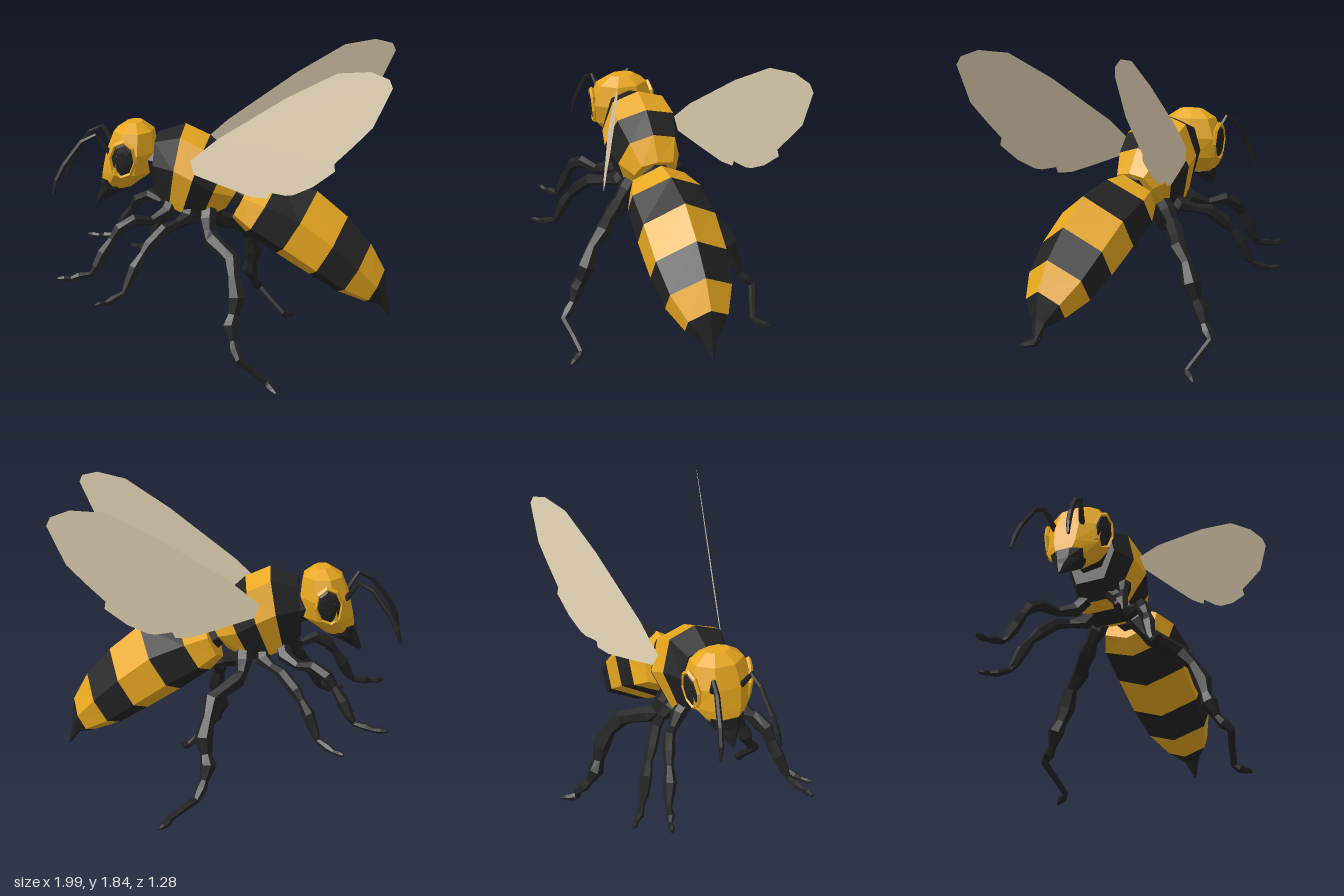
import * as THREE from 'three';

const V = (x, y, z) => new THREE.Vector3(x, y, z);

// Skin a list of equal-length rings, with optional end caps; faces always point outwards.
function loft(rings, capStart = true, capEnd = true) {
  const tris = [];
  const n = rings[0].length;
  for (let r = 0; r < rings.length - 1; r++) {
    for (let i = 0; i < n; i++) {
      const j = (i + 1) % n, a = rings[r], b = rings[r + 1];
      tris.push([a[i], a[j], b[j]], [a[i], b[j], b[i]]);
    }
  }
  const last = rings[rings.length - 1];
  for (let i = 1; i < n - 1; i++) {
    if (capStart) tris.push([rings[0][0], rings[0][i + 1], rings[0][i]]);
    if (capEnd) tris.push([last[0], last[i], last[i + 1]]);
  }
  const mid = V(0, 0, 0);
  rings.flat().forEach(p => mid.add(p));
  mid.divideScalar(rings.length * n);
  let volume = 0;
  for (const [a, b, c] of tris) {
    volume += a.clone().sub(mid).dot(b.clone().sub(mid).cross(c.clone().sub(mid)));
  }
  const pos = [];
  for (const [a, b, c] of tris) {
    for (const p of volume < 0 ? [a, c, b] : [a, b, c]) pos.push(p.x, p.y, p.z);
  }
  const geo = new THREE.BufferGeometry();
  geo.setAttribute('position', new THREE.Float32BufferAttribute(pos, 3));
  geo.computeVertexNormals();
  return geo;
}

// Six-sided limb along points [x, y, z, radius].
function limb(path) {
  const pts = path.map(p => V(p[0], p[1], p[2]));
  const u = V(0.3, 0.1, 1);
  const rings = pts.map((p, k) => {
    const t = pts[Math.min(k + 1, pts.length - 1)].clone().sub(pts[Math.max(k - 1, 0)]).normalize();
    u.addScaledVector(t, -u.dot(t)).normalize();
    const w = t.clone().cross(u);
    return Array.from({ length: 6 }, (_, i) => {
      const a = i * Math.PI / 3;
      return p.clone().addScaledVector(u, path[k][3] * Math.cos(a)).addScaledVector(w, path[k][3] * Math.sin(a));
    });
  });
  return loft(rings);
}

// Body ring between a top and a bottom point; outline gives [side, height] pairs from -1 to 1.
function bodyRing([tx, ty, bx, by, w], outline) {
  return outline.map(([s, h]) => {
    const k = (1 - h) / 2;
    return V(tx + (bx - tx) * k, ty + (by - ty) * k, s * w);
  });
}

// Horizontal eight-sided ring [y, xMin, xMax, half width].
function headRing([y, x0, x1, w]) {
  const c = 1 / Math.cos(Math.PI / 8);
  return Array.from({ length: 8 }, (_, i) => {
    const a = (i + 0.5) * Math.PI / 4;
    return V((x0 + x1) / 2 + (x1 - x0) / 2 * c * Math.cos(a), y, w * c * Math.sin(a));
  });
}

export function createModel() {
  const mat = (name, color) => {
    const m = new THREE.MeshStandardMaterial({ color, flatShading: true });
    m.name = name;
    return m;
  };
  const yellow = mat('amber yellow', 0xe8a820);
  const black = mat('charcoal black', 0x232324);
  const wingMat = mat('wing beige', 0xe0d1b2);
  wingMat.side = THREE.DoubleSide;

  const model = new THREE.Group();
  model.name = 'wasp';
  const body = new THREE.Group();
  body.name = 'body';
  body.rotation.y = 0.04;
  body.position.z = 0.017;
  model.add(body);
  const add = (name, geo, material, parent = body) => {
    const m = new THREE.Mesh(geo, material);
    m.name = name;
    parent.add(m);
  };

  // Alternating coloured bands along a row of rings
  const bands = (name, rows, outline, colours) => {
    const rings = rows.map(r => bodyRing(r, outline));
    colours.forEach((c, i) =>
      add(name + 'Band' + (i + 1), loft([rings[i], rings[i + 1]], i === 0, i === colours.length - 1), c));
  };

  // Thorax: broad-shouldered sections with a low ridge
  bands('thorax', [
    [-0.39, 1.36, -0.41, 1.02, 0.15],
    [-0.225, 1.415, -0.31, 0.94, 0.21],
    [-0.08, 1.35, -0.23, 0.91, 0.235],
    [0.04, 1.24, -0.12, 0.87, 0.19],
    [0.12, 1.10, 0.02, 0.93, 0.13],
  ], [[0, 1], [0.74, 0.78], [1, 0], [0.6, -1], [-0.6, -1], [-1, 0], [-0.74, 0.78]], [black, yellow, black, yellow]);
  add('neck', limb([[-0.46, 1.2, 0, 0.1], [-0.36, 1.19, 0, 0.13]]), black);
  add('waist', limb([[0.02, 1.04, 0, 0.1], [0.08, 1.01, 0, 0.08], [0.16, 0.97, 0, 0.11]]), black);

  // Abdomen: ridged hexagon sections
  bands('abdomen', [
    [0.17, 1.10, 0.05, 0.85, 0.16],
    [0.33, 1.095, 0.13, 0.765, 0.21],
    [0.55, 1.03, 0.31, 0.64, 0.217],
    [0.73, 0.88, 0.51, 0.515, 0.212],
    [0.87, 0.72, 0.68, 0.415, 0.185],
    [0.955, 0.56, 0.84, 0.36, 0.12],
    [0.97, 0.41, 0.925, 0.345, 0.045],
    [0.996, 0.268, 0.99, 0.265, 0.004],
  ], [[0, 1], [1, 0.32], [1, -0.5], [0, -1], [-1, -0.5], [-1, 0.32]],
  [yellow, black, yellow, black, yellow, black, black]);

  // Head and jaws
  add('head', loft([
    [1.42, -0.57, -0.48, 0.07], [1.37, -0.64, -0.42, 0.145], [1.25, -0.685, -0.40, 0.185],
    [1.13, -0.71, -0.42, 0.165], [1.07, -0.72, -0.50, 0.115], [1.03, -0.69, -0.55, 0.08],
  ].map(headRing)), yellow);
  add('jaws', loft([
    [1.08, -0.725, -0.6, 0.10], [1.02, -0.73, -0.57, 0.085], [0.98, -0.75, -0.64, 0.05], [0.92, -0.765, -0.74, 0.01],
  ].map(headRing)), black);

  const legs = {
    frontLeg: [
      [-0.30, 0.97, 0.08, 0.045], [-0.32, 0.91, 0.14, 0.045], [-0.40, 0.875, 0.21, 0.026], [-0.49, 0.895, 0.27, 0.036],
      [-0.57, 0.85, 0.305, 0.038], [-0.61, 0.79, 0.32, 0.024], [-0.66, 0.71, 0.335, 0.038], [-0.70, 0.63, 0.36, 0.028],
      [-0.73, 0.59, 0.37, 0.016], [-0.80, 0.58, 0.39, 0.024], [-0.84, 0.57, 0.41, 0.014], [-0.88, 0.572, 0.42, 0.02],
      [-0.915, 0.572, 0.43, 0.01]],
    middleLeg: [
      [-0.19, 0.95, 0.08, 0.045], [-0.20, 0.88, 0.15, 0.048], [-0.25, 0.865, 0.22, 0.028], [-0.31, 0.85, 0.28, 0.037],
      [-0.39, 0.77, 0.34, 0.038], [-0.425, 0.72, 0.37, 0.024], [-0.465, 0.65, 0.40, 0.038], [-0.505, 0.55, 0.43, 0.027],
      [-0.525, 0.51, 0.45, 0.016], [-0.585, 0.48, 0.49, 0.024], [-0.615, 0.472, 0.52, 0.014], [-0.65, 0.47, 0.545, 0.017],
      [-0.67, 0.47, 0.56, 0.008]],
    hindLeg: [
      [-0.08, 0.95, 0.08, 0.05], [-0.08, 0.87, 0.13, 0.052], [-0.07, 0.81, 0.17, 0.036], [-0.04, 0.77, 0.21, 0.052],
      [0.04, 0.73, 0.29, 0.044], [0.09, 0.70, 0.33, 0.052], [0.105, 0.62, 0.40, 0.037], [0.13, 0.51, 0.45, 0.055],
      [0.115, 0.42, 0.475, 0.036], [0.10, 0.36, 0.50, 0.05], [0.12, 0.28, 0.535, 0.025], [0.135, 0.24, 0.565, 0.034],
      [0.155, 0.2, 0.605, 0.024], [0.23, 0.125, 0.575, 0.02], [0.31, 0.05, 0.55, 0.02], [0.33, 0.03, 0.575, 0.026],
      [0.355, 0.02, 0.61, 0.02], [0.375, 0.013, 0.635, 0.008]],
  };
  const antenna = [
    [-0.65, 1.23, 0.08, 0.02], [-0.69, 1.28, 0.095, 0.016], [-0.74, 1.355, 0.115, 0.014], [-0.82, 1.315, 0.13, 0.016],
    [-0.92, 1.18, 0.155, 0.017], [-0.965, 1.09, 0.17, 0.016], [-0.985, 1.01, 0.18, 0.008]];

  // Wing outline, laid on a slanted plane
  const wing = [
    [-0.155, 1.24], [0.01, 1.385], [0.41, 1.66], [0.69, 1.82], [0.87, 1.845], [0.97, 1.815], [0.99, 1.77],
    [0.89, 1.55], [0.79, 1.44], [0.685, 1.33], [0.69, 1.29], [0.57, 1.19], [0.46, 1.13], [0.415, 1.12],
    [0.325, 1.125], [0.31, 1.09], [0.22, 1.085], [0.06, 1.12], [-0.13, 1.165]];
  const wingShape = new THREE.Shape(wing.map(p => new THREE.Vector2(p[0] - 0.017, p[1])));

  for (const s of [1, -1]) {
    const side = s > 0 ? 'Near' : 'Far';
    const mirror = path => path.map(([x, y, z, r]) => [x, y, z * s, r]);
    for (const name in legs) add(name + side, limb(mirror(legs[name])), black);
    add('antenna' + side, limb(mirror(antenna)), black);

    const wingGeo = new THREE.ShapeGeometry(wingShape);
    const p = wingGeo.attributes.position;
    for (let i = 0; i < p.count; i++) {
      p.setZ(i, s * (0.215 + 0.368 * (p.getX(i) + 0.15) - 0.14 * (p.getY(i) - 1.2)));
    }
    wingGeo.computeVertexNormals();
    add('wing' + side, wingGeo, wingMat);

    // Eye with a raised rim
    const eye = new THREE.Group();
    eye.name = 'eye' + side;
    eye.position.set(-0.57, 1.225, 0.17 * s);
    eye.rotation.set(0.08 * s, -0.2 * s, -0.12);
    body.add(eye);
    add('eyeBall', new THREE.SphereGeometry(1, 8, 6).rotateX(Math.PI / 2).scale(0.07, 0.102, 0.022), black, eye);
    add('eyeRim', new THREE.TorusGeometry(1, 0.14, 4, 8).scale(0.077, 0.11, 0.1), yellow, eye);
  }
  return model;
}
